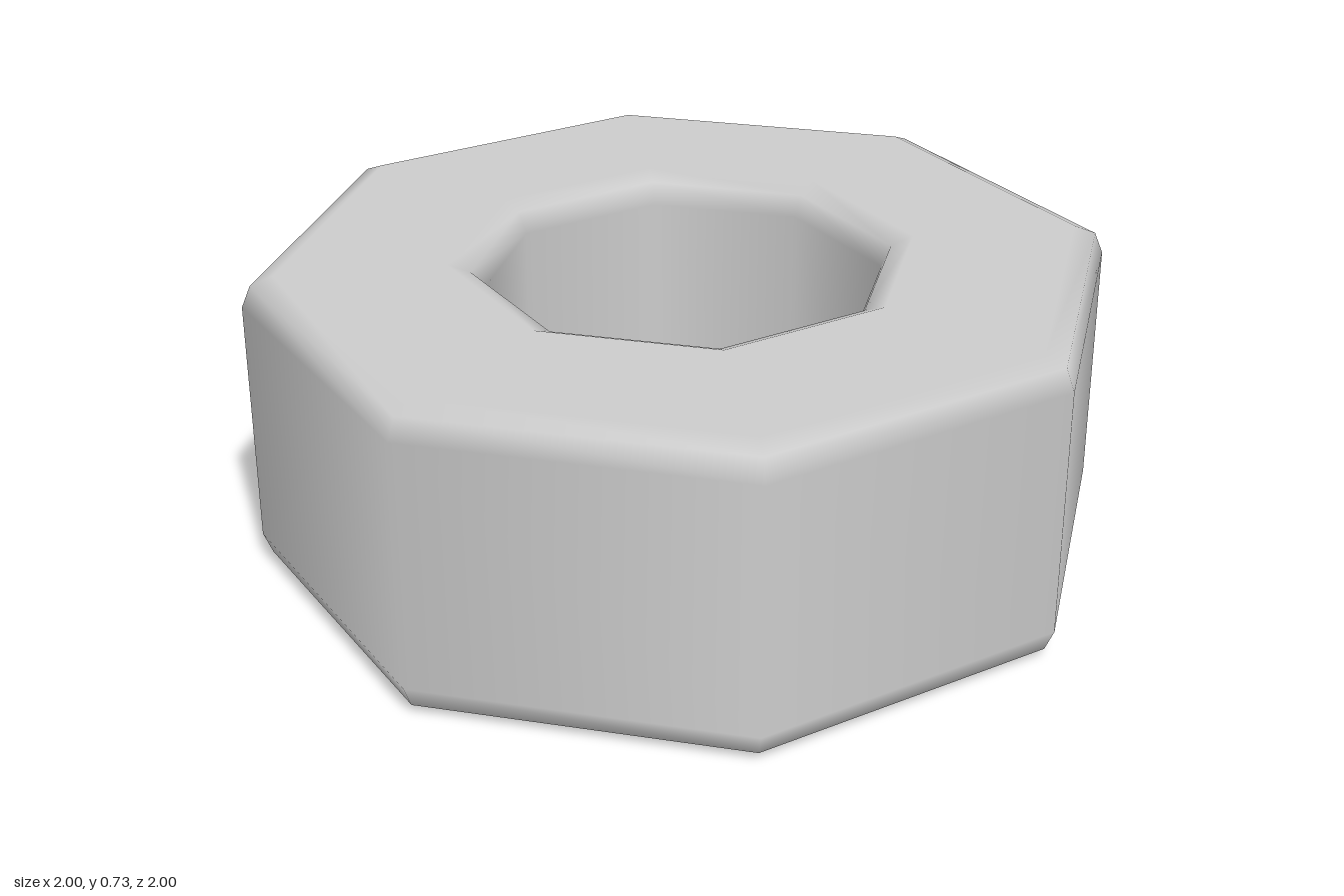
import * as THREE from 'three';

const SIDES = 8, INNER = 0.466, OUTER = 1, HEIGHT = 0.727, BEVEL = 0.072, STEPS = 2;

export function createModel() {
  const group = new THREE.Group();
  group.name = 'octagonalNut';

  // Closed rounded-rectangle profile, counter-clockwise from the lower outer corner
  const corners = [
    [OUTER - BEVEL, BEVEL, -90],
    [OUTER - BEVEL, HEIGHT - BEVEL, 0],
    [INNER + BEVEL, HEIGHT - BEVEL, 90],
    [INNER + BEVEL, BEVEL, 180],
  ];
  const points = [], angles = [];
  for (const [cx, cy, start] of corners) {
    for (let i = 0; i <= STEPS; i++) {
      const a = THREE.MathUtils.degToRad(start + (90 * i) / STEPS);
      points.push(new THREE.Vector2(cx + BEVEL * Math.cos(a), cy + BEVEL * Math.sin(a)));
      angles.push(a);
    }
  }
  points.push(points[0].clone());
  angles.push(angles[0]);

  // Eight-sided ring, with normals that keep the walls and caps evenly shaded
  const geometry = new THREE.LatheGeometry(points, SIDES);
  const normal = geometry.attributes.normal;
  for (let s = 0; s <= SIDES; s++) {
    const phi = (s / SIDES) * Math.PI * 2;
    angles.forEach((a, j) => normal.setXYZ(s * angles.length + j,
      Math.cos(a) * Math.sin(phi), Math.sin(a), Math.cos(a) * Math.cos(phi)));
  }

  const ring = new THREE.Mesh(geometry, new THREE.MeshStandardMaterial({ color: 0xcccccc }));
  ring.name = 'bevelledRing';
  group.add(ring);
  return group;
}
